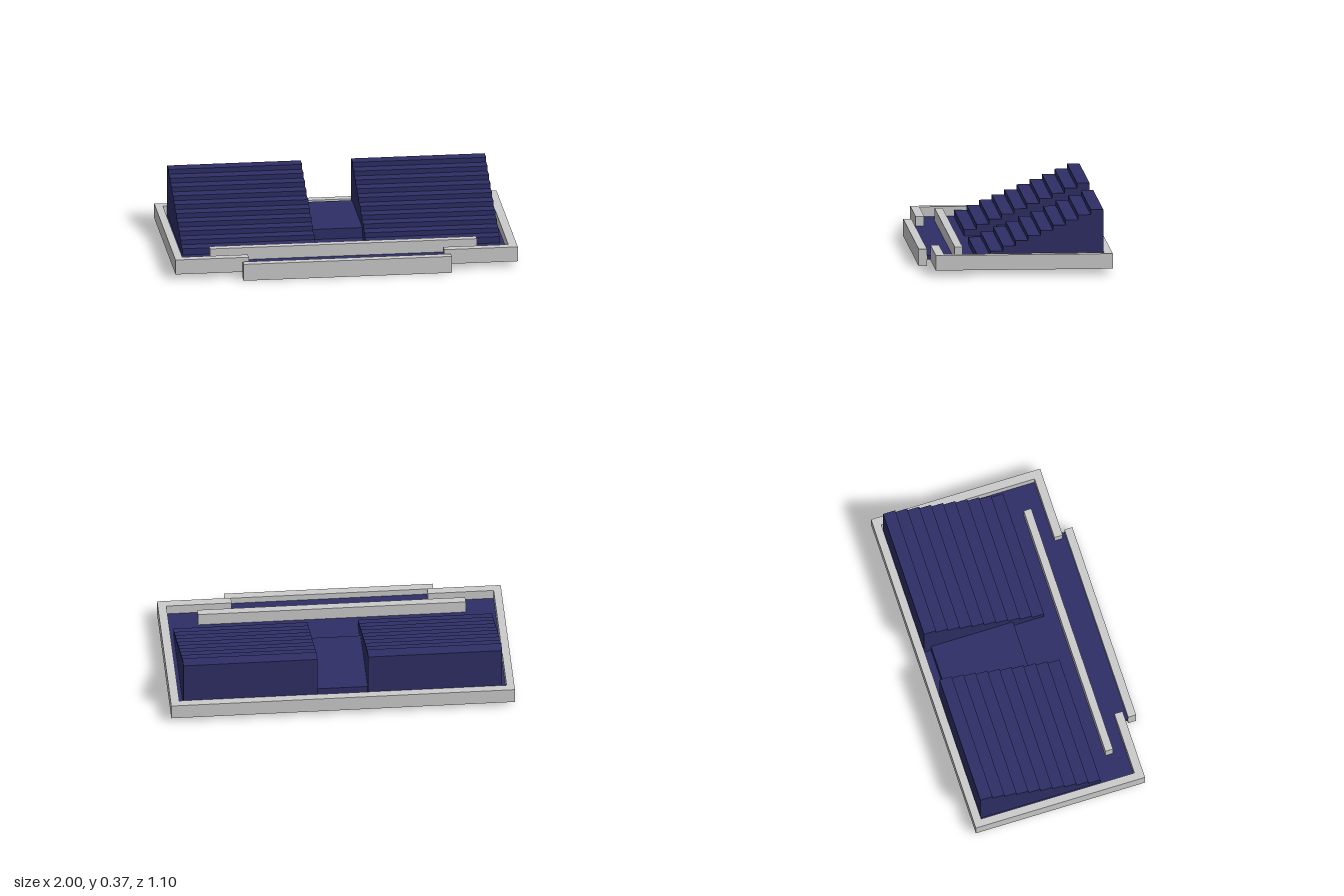
import * as THREE from 'three';

export function createModel() {
  const model = new THREE.Group();
  const grey = new THREE.MeshStandardMaterial({ color: 0xcccccc, flatShading: true });
  const blue = new THREE.MeshStandardMaterial({ color: 0x2e2e66, flatShading: true });

  const add = (name, geometry, material) => {
    const mesh = new THREE.Mesh(geometry, material);
    mesh.name = name;
    model.add(mesh);
    return mesh;
  };

  // Box given by its limits on each axis
  const block = (name, [x0, x1], [y0, y1], [z0, z1], material) => {
    const mesh = add(name, new THREE.BoxGeometry(x1 - x0, y1 - y0, z1 - z0), material);
    mesh.position.set((x0 + x1) / 2, (y0 + y1) / 2, (z0 + z1) / 2);
    return mesh;
  };

  const floorTop = 0.063;

  // Perimeter wall, open in the middle of the front
  const plan = new THREE.Shape([
    [-0.572, 0.48], [-1, 0.48], [-1, -0.55], [1, -0.55], [1, 0.48], [0.57, 0.48],
    [0.57, 0.43], [0.95, 0.43], [0.95, -0.503], [-0.955, -0.503], [-0.955, 0.43], [-0.572, 0.43],
  ].map(([x, z]) => new THREE.Vector2(x, -z)));
  const wall = new THREE.ExtrudeGeometry(plan, { depth: 0.088, bevelEnabled: false });
  wall.rotateX(-Math.PI / 2);
  add('perimeterWall', wall, grey).position.y = 0.031;

  // Floor, with a narrower middle strip reaching the front panel
  block('floor', [-0.957, 0.952], [0.037, floorTop], [-0.494, 0.44], blue);
  block('floorStrip', [-0.608, 0.604], [0.037, floorTop], [-0.549, 0.502], blue);

  // Front panel and the low rail before the stands
  block('frontPanel', [-0.61, 0.606], [0, 0.1], [0.502, 0.55], grey);
  block('rail', [-0.783, 0.776], [floorTop, 0.136], [0.308, 0.354], grey);

  // Stepped stands either side of the aisle
  const steps = 10, front = 0.23, back = -0.5, top = 0.367, rise = 0.0295;
  const tread = (front - back) / steps;
  const profile = new THREE.Shape();
  profile.moveTo(-front, floorTop);
  for (let i = 0; i < steps; i++) {
    const y = top - rise * (steps - 1 - i);
    profile.lineTo(-front + i * tread, y);
    profile.lineTo(-front + (i + 1) * tread, y);
  }
  profile.lineTo(-back, floorTop);
  const standGeometry = new THREE.ExtrudeGeometry(profile, { depth: 0.78, bevelEnabled: false });
  standGeometry.rotateY(Math.PI / 2);
  for (const [name, x] of [['rightStand', -0.93], ['leftStand', 0.145]]) {
    add(name, standGeometry, blue).position.x = x;
  }

  // Low platform in the aisle
  block('aislePlatform', [-0.15, 0.145], [floorTop, 0.125], [-0.458, 0.042], blue);

  return model;
}
